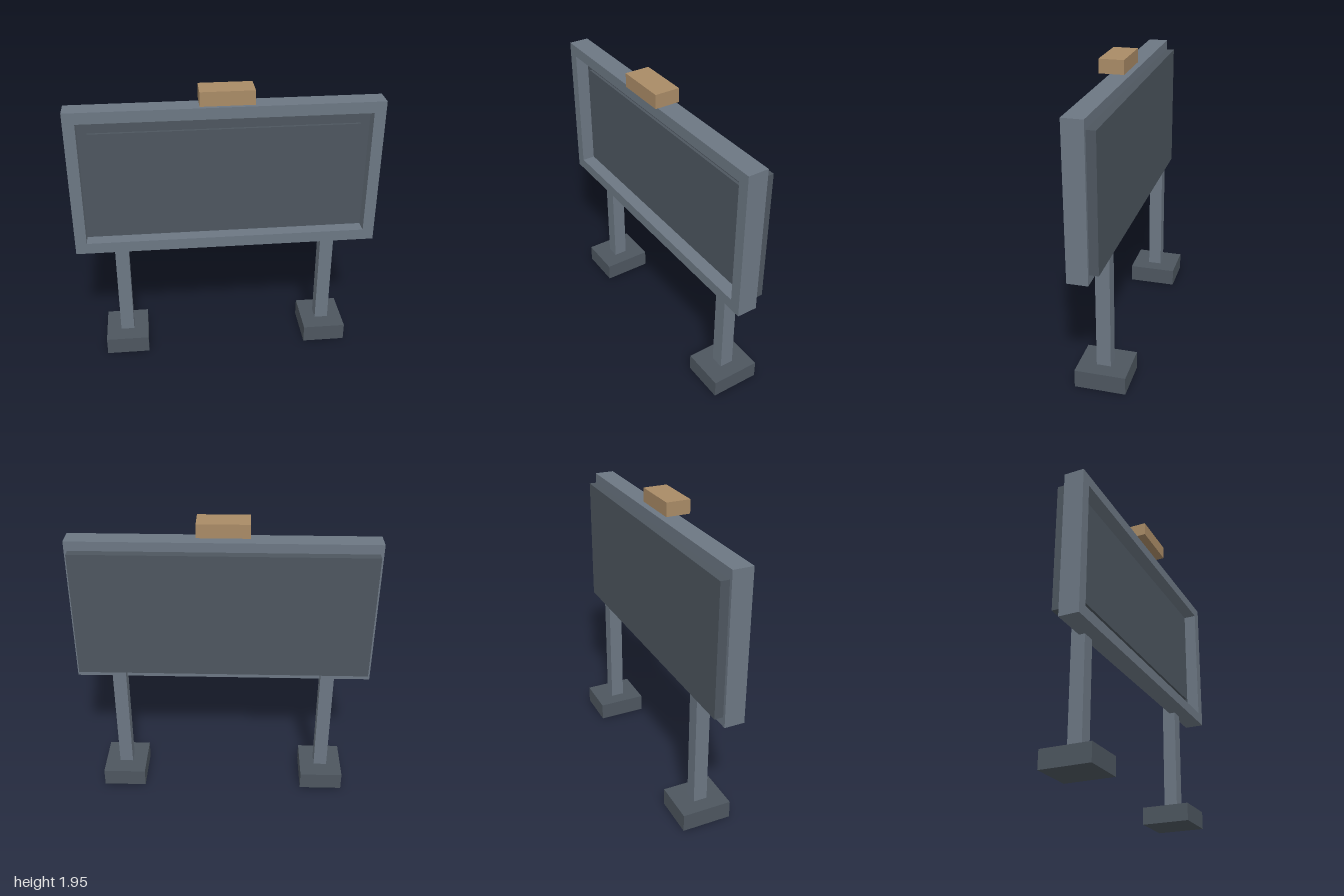
import * as THREE from 'three';

export function createModel() {
  const model = new THREE.Group();
  model.name = 'billboard';

  const mat = (name, color) => {
    const m = new THREE.MeshStandardMaterial({ color });
    m.name = name;
    return m;
  };
  const steel = mat('steel grey', 0x6c7783);
  const dark = mat('dark grey', 0x4d565f);
  const tan = mat('tan', 0xa98b66);

  // Box given by its lower and upper limits on each axis
  const box = (name, material, [x0, x1], [y0, y1], [z0, z1]) => {
    const mesh = new THREE.Mesh(new THREE.BoxGeometry(x1 - x0, y1 - y0, z1 - z0), material);
    mesh.position.set((x0 + x1) / 2, (y0 + y1) / 2, (z0 + z1) / 2);
    mesh.name = name;
    model.add(mesh);
  };

  // Frame with a rectangular opening
  const rect = (Path, x, y0, y1) => new Path([
    new THREE.Vector2(-x, y0), new THREE.Vector2(x, y0),
    new THREE.Vector2(x, y1), new THREE.Vector2(-x, y1),
  ]);
  const outline = rect(THREE.Shape, 1, 0.833, 1.828);
  outline.holes.push(rect(THREE.Path, 0.925, 0.908, 1.753));
  const frame = new THREE.Mesh(
    new THREE.ExtrudeGeometry(outline, { depth: 0.133, bevelEnabled: false }), steel);
  frame.name = 'frame';
  model.add(frame);

  // Board: rear slab, recessed face inside the frame and raised display panel
  box('backPanel', dark, [-0.978, 0.978], [0.895, 1.765], [-0.058, 0]);
  box('recessedBoard', dark, [-0.925, 0.925], [0.908, 1.753], [0, 0.045]);
  box('displayPanel', dark, [-0.865, 0.865], [1.01, 1.655], [0.045, 0.062]);

  // Lamp floating above the frame
  box('lamp', tan, [-0.17, 0.17], [1.855, 1.947], [0.012, 0.175]);

  // Posts and footings, mirrored left and right
  for (const [side, s] of [['left', 1], ['right', -1]]) {
    const span = (c, w) => [s * c - w / 2, s * c + w / 2];
    box(side + 'Post', steel, span(0.706, 0.092), [0.12, 0.9], [-0.053, 0.04]);
    box(side + 'Footing', dark, span(0.706, 0.293), [0, 0.12], [-0.175, 0.157]);
  }
  return model;
}
